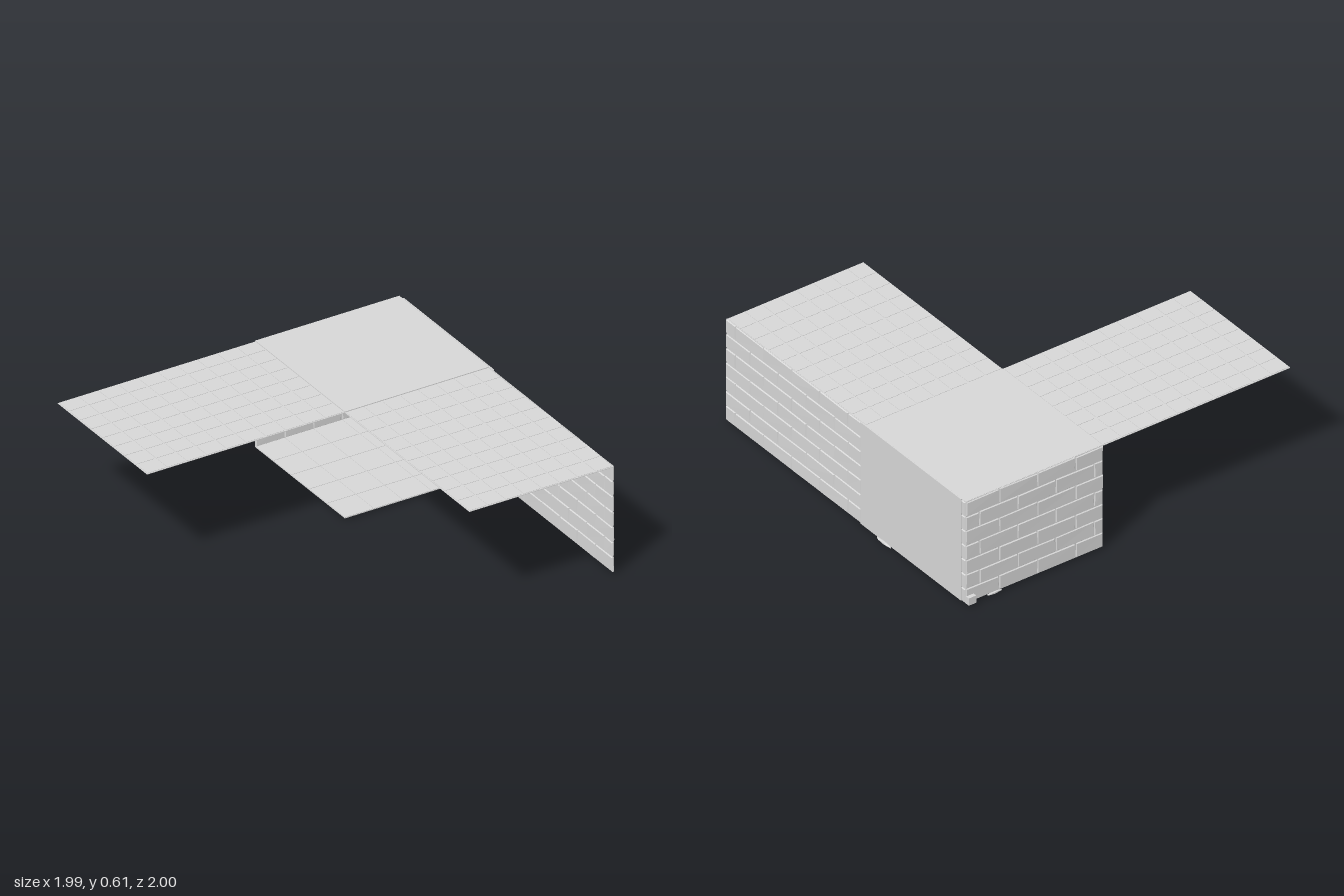
import * as THREE from 'three';
import { mergeGeometries } from 'three/addons/utils/BufferGeometryUtils.js';

const stone = new THREE.MeshStandardMaterial({ color: 0xd6d6d6 });
stone.name = 'pale stone';

let seed = 7;
function jitter(size) {
  seed = (seed * 16807) % 2147483647;
  return (seed / 2147483647 - 0.5) * 2 * size;
}

// Box between two corners, divided into cells of about a tenth of a unit
function box(name, x0, x1, y0, y1, z0, z1) {
  const size = [x1 - x0, y1 - y0, z1 - z0];
  const cells = size.map((s) => Math.ceil(s / 0.1));
  const mesh = new THREE.Mesh(new THREE.BoxGeometry(...size, ...cells), stone);
  mesh.position.set((x0 + x1) / 2, (y0 + y1) / 2, (z0 + z1) / 2);
  mesh.name = name;
  return mesh;
}

// One worn block: the outer face is bevelled and its corners wander a little
function brick(x0, x1, y0, y1, depth) {
  const w = x1 - x0, h = y1 - y0;
  const geo = new THREE.BoxGeometry(w, h, depth);
  const p = geo.attributes.position;
  const corners = [0, 1, 2, 3].map(() => [jitter(0.002), jitter(0.002), jitter(0.0008)]);
  const bevel = Math.min(0.004, w * 0.2);
  for (let i = 0; i < p.count; i++) {
    const sx = Math.sign(p.getX(i)), sy = Math.sign(p.getY(i)), front = p.getZ(i) > 0;
    const [jx, jy, jz] = corners[(sx > 0 ? 1 : 0) + (sy > 0 ? 2 : 0)];
    const inset = front ? bevel : 0;
    p.setXYZ(i, sx * (w / 2 - inset) + (w > 0.04 ? jx : 0), sy * (h / 2 - inset) + jy,
      front ? depth + jz : 0);
  }
  geo.translate((x0 + x1) / 2, (y0 + y1) / 2, 0);
  const flat = geo.toNonIndexed();
  flat.computeVertexNormals();
  return flat;
}

// Seven courses of running bond in the local xy plane, facing +z
function brickFace(name, length, width, oddStart, evenStart) {
  const rows = 7, y0 = 0.012, rowH = 0.598 / rows, gap = 0.0025;
  const parts = [];
  for (let r = 0; r < rows; r++) {
    const start = r % 2 ? oddStart : evenStart;
    for (let x = start - width; x < length; x += width) {
      const a = Math.max(x, 0), b = Math.min(x + width, length);
      if (b - a < 0.015) continue;
      parts.push(brick(a + (a > 0 ? gap : 0), b - (b < length ? gap : 0),
        y0 + r * rowH + gap, y0 + (r + 1) * rowH - gap, 0.005));
    }
  }
  const mesh = new THREE.Mesh(mergeGeometries(parts), stone);
  mesh.name = name;
  return mesh;
}

function place(mesh, x, z, angle) {
  mesh.position.set(x, 0, z);
  mesh.rotation.y = angle;
  return mesh;
}

// Square paving on a thinner bed, so grooves show above and below
function paving(name, x0, x1, z0, z1, y, cols, rows, gap) {
  const group = new THREE.Group();
  group.name = name;
  const w = (x1 - x0) / cols, d = (z1 - z0) / rows, parts = [];
  for (let i = 0; i < cols; i++) {
    for (let j = 0; j < rows; j++) {
      const g = new THREE.BoxGeometry(w - gap, 0.007, d - gap);
      g.translate(x0 + (i + 0.5) * w, y, z0 + (j + 0.5) * d);
      parts.push(g);
    }
  }
  const tiles = new THREE.Mesh(mergeGeometries(parts), stone);
  tiles.name = 'tiles';
  group.add(tiles, box('tileBed', x0, x1, y - 0.0015, y + 0.0015, z0, z1));
  return group;
}

// Small fallen stone
function rubble(x, y, z, sx, sy, sz) {
  const mesh = new THREE.Mesh(new THREE.IcosahedronGeometry(1, 0), stone);
  mesh.position.set(x, y, z);
  mesh.scale.set(sx, sy, sz);
  mesh.name = 'rubble';
  return mesh;
}

export function createModel() {
  const model = new THREE.Group();
  model.name = 'brickCorner';
  const L = 0.14, R = 0.97, B = -0.97, F = -0.147;

  // Upper walkways, corner roof and lower floor
  model.add(
    paving('sideWalkway', -1, L, B, F, 0.605, 10, 8, 0.011),
    paving('frontWalkway', L, R, F, 1, 0.605, 8, 10, 0.011),
    box('cornerRoof', L, R, 0.604, 0.611, B, F),
    paving('lowerFloor', L, R, B, F, 0.0115, 5, 5, 0.004)
  );

  // Left-hand wall: core, bricks on both faces, plain panel outside
  const wall = new THREE.Group();
  wall.name = 'longWall';
  wall.add(
    box('wallCore', 0.967, 0.971, 0.012, 0.61, B, 1),
    place(brickFace('outerBricks', 1.112, 0.232, 0.2, 0.08), 0.971, 1, Math.PI / 2),
    place(brickFace('innerBricks', 1.97, 0.165, 0.085, 0.165), 0.967, B, -Math.PI / 2),
    box('plainPanel', 0.971, 0.977, 0.012, 0.612, -0.941, -0.112),
    place(brickFace('cornerBricks', 0.032, 0.232, 0.1, 0.1), 0.971, -0.941, Math.PI / 2)
  );
  model.add(wall);

  // Back wall, bricked inside and out
  const back = new THREE.Group();
  back.name = 'backWall';
  back.add(
    box('wallCore', L, 0.971, 0.012, 0.61, -0.973, -0.969),
    place(brickFace('innerBricks', 0.827, 0.165, 0.085, 0.165), L, -0.969, 0),
    place(brickFace('outerBricks', 0.831, 0.232, 0.08, 0.2), 0.971, -0.973, Math.PI)
  );
  model.add(back);

  // Loose stones at the foot of the corner
  model.add(
    box('footStone', 0.927, 0.972, 0.012, 0.055, -1, -0.973),
    rubble(0.8, 0.01, -0.978, 0.05, 0.008, 0.008),
    rubble(0.979, 0.009, -0.31, 0.01, 0.009, 0.07)
  );
  const chip = box('chip', -0.004, 0.004, -0.022, 0.022, -0.004, 0.004);
  chip.position.set(0.945, 0.038, -0.96);
  chip.rotation.z = -0.6;
  model.add(chip);
  return model;
}
